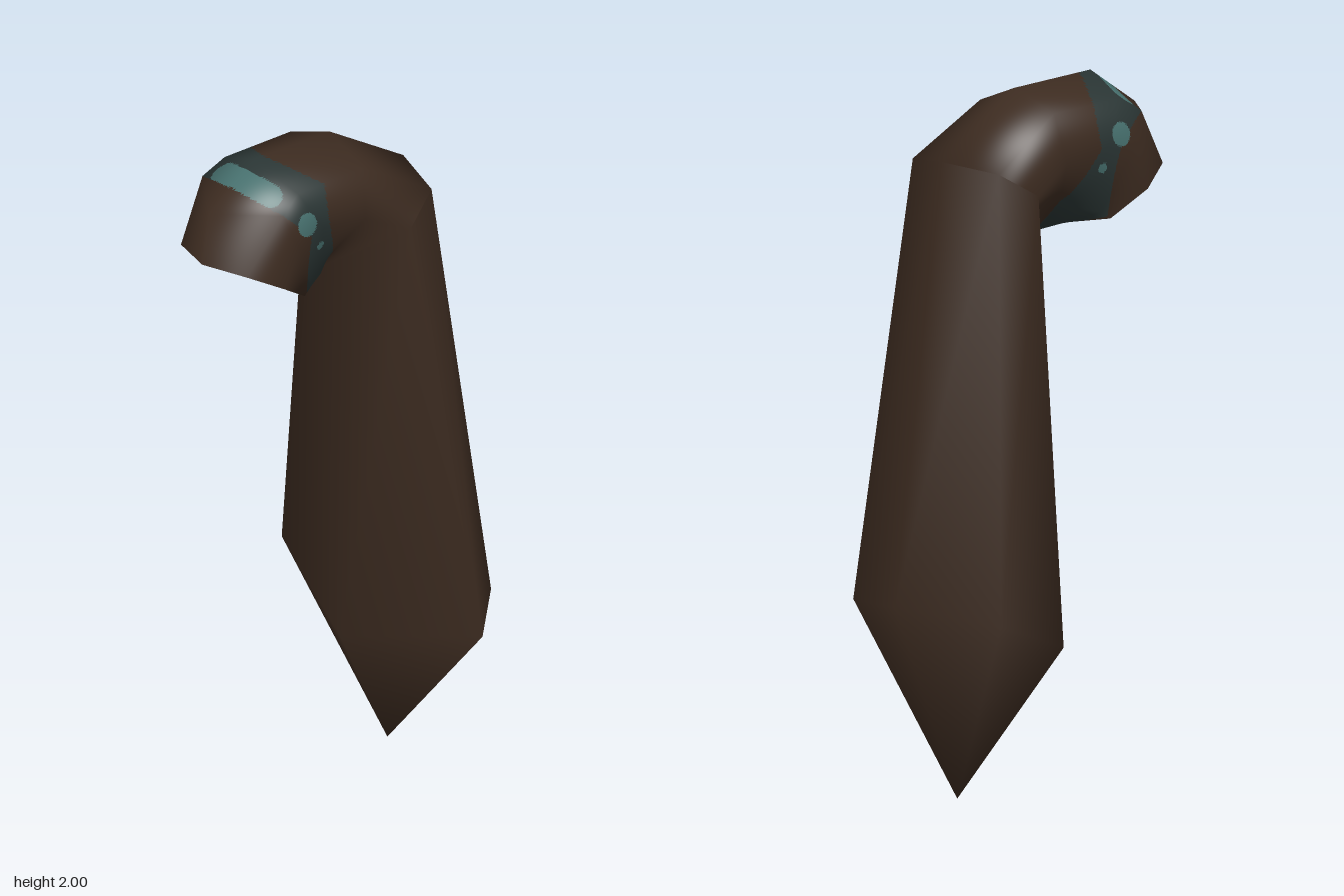
import * as THREE from 'three';

// Half cross-sections from the outer ridge (x = 0) round the +x side to the inner ridge (x = 0).
// The last sections run straight from the side corner to the inner ridge, so two points meet there.
const SECTIONS = [
  [[0, 1.74, 0.475], [0.135, 1.735, 0.43], [0.18, 1.68, 0.33], [0.145, 1.605, 0.22], [0, 1.578, 0.2]],
  [[0, 1.89, 0.45], [0.165, 1.9, 0.32], [0.18, 1.79, 0.27], [0.14, 1.625, 0.19], [0, 1.578, 0.17]],
  [[0, 2.0, 0.28], [0.15, 1.94, 0.25], [0.18, 1.82, 0.18], [0.125, 1.64, 0.14], [0, 1.575, 0.13]],
  [[0, 1.985, -0.01], [0.15, 1.93, 0], [0.18, 1.79, 0.02], [0.09, 1.66, 0.08], [0, 1.572, 0.09]],
  [[0, 1.81, -0.29], [0.175, 1.79, -0.235], [0.213, 1.72, -0.12], [0, 1.57, 0.06], [0, 1.57, 0.06]],
  [[0, 0.57, -0.47], [0.30, 0.54, -0.345], [0.41, 0.48, -0.21], [0, 0.38, -0.05], [0, 0.38, -0.05]],
  Array(5).fill([0, 0, -0.23]),
];
const SIDES = 8;

// Mirror each half section into a closed ring
const rings = SECTIONS.map((half) => [
  ...half,
  ...half.slice(1, 4).reverse().map(([x, y, z]) => [-x, y, z]),
].map((p) => new THREE.Vector3(...p)));

// Smooth normals shared by the whole tube; points that meet share one normal
function ringNormals() {
  const index = [];
  for (let r = 0; r < rings.length - 1; r++) {
    for (let s = 0; s < SIDES; s++) {
      const a = r * SIDES + s, b = r * SIDES + (s + 1) % SIDES;
      index.push(a, b, b + SIDES, a, b + SIDES, a + SIDES);
    }
  }
  const g = new THREE.BufferGeometry().setFromPoints(rings.flat());
  g.setIndex(index);
  g.computeVertexNormals();
  const n = g.getAttribute('normal');
  return rings.map((ring, r) => ring.map((p) => {
    const sum = new THREE.Vector3();
    ring.forEach((q, s) => {
      if (p.distanceTo(q) < 1e-6) sum.add(new THREE.Vector3().fromBufferAttribute(n, r * SIDES + s));
    });
    return sum.normalize();
  }));
}

function blend(grid, r, s, u, v) {
  const t = (s + 1) % SIDES;
  const near = grid[r][s].clone().lerp(grid[r][t], v);
  return near.lerp(grid[r + 1][s].clone().lerp(grid[r + 1][t], v), u);
}

// Skin between two rings; pick(centre, around) returns the material slot of each small face
function skin(from, to, steps, normals, pick) {
  const slots = [[], [], []];
  for (let r = from; r < to; r++) {
    for (let s = 0; s < SIDES; s++) {
      for (let i = 0; i < steps; i++) {
        for (let j = 0; j < steps; j++) {
          const corner = (di, dj) => [r, s, (i + di) / steps, (j + dj) / steps];
          const a = corner(0, 0), b = corner(0, 1), c = corner(1, 0), d = corner(1, 1);
          for (const tri of [[a, b, d], [a, d, c]]) {
            const centre = new THREE.Vector3();
            let around = 0;
            tri.forEach((k) => {
              centre.addScaledVector(blend(rings, ...k), 1 / 3);
              around += (k[1] + k[3]) / 3;
            });
            slots[pick(centre, Math.min(around, SIDES - around))].push(...tri);
          }
        }
      }
    }
  }
  const g = new THREE.BufferGeometry();
  const all = slots.flat();
  const pack = (grid, unit) => new THREE.Float32BufferAttribute(all.flatMap((k) => {
    const p = blend(grid, ...k);
    return (unit ? p.normalize() : p).toArray();
  }), 3);
  g.setAttribute('position', pack(rings, false));
  g.setAttribute('normal', pack(normals, true));
  let start = 0;
  slots.forEach((list, m) => {
    if (list.length) g.addGroup(start, list.length, m);
    start += list.length;
  });
  return g;
}

// Band edges in z at each step round the half section
const BAND_BACK = [0.24, 0.15, 0.155, 0.07, 0.04];
const BAND_FRONT = [0.365, 0.32, 0.225, 0.21, 0.2];
function along(list, t) {
  const i = Math.min(Math.floor(t), 3);
  return THREE.MathUtils.lerp(list[i], list[i + 1], t - i);
}

// Centre line of the pale bar, in x and z
const BAR = new THREE.Line3(new THREE.Vector3(0, 0, 0.337), new THREE.Vector3(0.103, 0, 0.305));

// 0 = cloth, 1 = dark band, 2 = pale markings
function marking(p, around) {
  const flat = new THREE.Vector3(Math.abs(p.x), 0, p.z);
  const nearest = BAR.closestPointToPoint(flat, true, new THREE.Vector3());
  const bar = p.y > 1.85 && nearest.distanceTo(flat) < 0.029;
  const spot = (z, y, r) => flat.x > 0.1 && Math.hypot(p.z - z, p.y - y) < r;
  if (bar || spot(0.235, 1.845, 0.034) || spot(0.175, 1.755, 0.014)) return 2;
  return p.z > along(BAND_BACK, around) && p.z < along(BAND_FRONT, around) ? 1 : 0;
}

export function createModel() {
  const material = (name, color) => {
    const m = new THREE.MeshStandardMaterial({ color, side: THREE.DoubleSide });
    m.name = name;
    return m;
  };
  const materials = [
    material('brown cloth', 0x3c2b20),
    material('dark teal band', 0x2a3534),
    material('pale teal marking', 0x466f6d),
  ];
  const normals = ringNormals();
  const group = new THREE.Group();
  group.name = 'hood';

  // Curved open hood with its painted band
  const crown = new THREE.Mesh(skin(0, 4, 24, normals, marking), materials);
  crown.name = 'crown';

  // Long widening tail ending in a point
  const tail = new THREE.Mesh(skin(4, 6, 1, normals, () => 0), materials[0]);
  tail.name = 'tail';

  group.add(crown, tail);
  return group;
}
